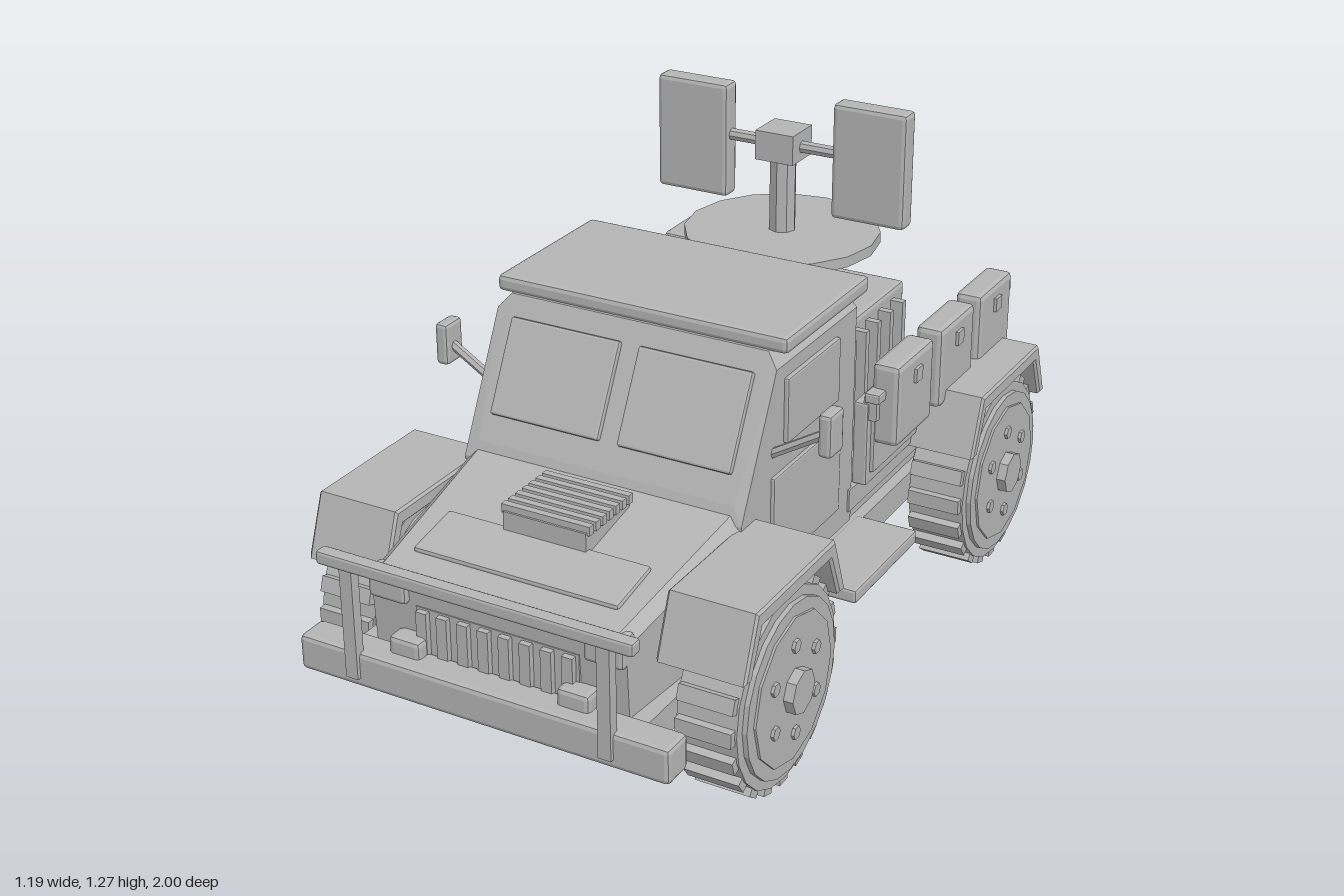
import * as THREE from 'three';
import { RoundedBoxGeometry } from 'three/addons/geometries/RoundedBoxGeometry.js';
import { ConvexGeometry } from 'three/addons/geometries/ConvexGeometry.js';

const grey = new THREE.MeshStandardMaterial({ color: 0xb4b4b4, flatShading: true });
grey.name = 'grey';

export function createModel() {
  const model = new THREE.Group();
  model.name = 'utilityTruck';

  const add = (name, geometry, parent = model) => {
    const mesh = new THREE.Mesh(geometry, grey);
    mesh.name = name;
    parent.add(mesh);
    return mesh;
  };
  // Box given by its limits, with optional bevel
  const box = (name, x0, x1, y0, y1, z0, z1, bevel = 0, parent = model) => {
    const s = [x1 - x0, y1 - y0, z1 - z0];
    const g = bevel ? new RoundedBoxGeometry(...s, 1, bevel) : new THREE.BoxGeometry(...s);
    const mesh = add(name, g, parent);
    mesh.position.set((x0 + x1) / 2, (y0 + y1) / 2, (z0 + z1) / 2);
    return mesh;
  };
  // The same box on both sides
  const pair = (name, x0, x1, ...rest) => {
    box(name + 'Left', x0, x1, ...rest);
    box(name + 'Right', -x1, -x0, ...rest);
  };
  // Convex solid from [half width, y, z] points mirrored in x
  const hull = (name, pts) => add(name, new ConvexGeometry(
    pts.flatMap(([x, y, z]) => [new THREE.Vector3(x, y, z), new THREE.Vector3(-x, y, z)])));
  // Rod between two points
  const rod = (name, a, b, r, sides = 8) => {
    const p = new THREE.Vector3(...a), q = new THREE.Vector3(...b);
    const mesh = add(name, new THREE.CylinderGeometry(r, r, p.distanceTo(q), sides));
    mesh.position.copy(p).add(q).multiplyScalar(0.5);
    mesh.quaternion.setFromUnitVectors(new THREE.Vector3(0, 1, 0), q.sub(p).normalize());
    return mesh;
  };

  // Chassis, bed floor and cab sill
  hull('chassis', [
    [0.35, 0.18, 0.9], [0.35, 0.18, -0.9], [0.38, 0.21, 0.9], [0.38, 0.21, -0.97],
    [0.38, 0.285, 0.9], [0.38, 0.285, -0.97],
  ]);
  box('subFloor', -0.35, 0.35, 0.28, 0.345, -0.94, 0.4);
  box('bedFloor', -0.38, 0.38, 0.34, 0.4, -1, -0.1);
  pair('bedCornerPost', 0.29, 0.37, 0.39, 0.445, -0.99, -0.965);

  // Cab and hood
  hull('cab', [
    [0.375, 0.31, -0.12], [0.375, 0.31, 0.45], [0.375, 0.56, 0.458], [0.345, 0.6, 0.442],
    [0.375, 0.885, 0.295], [0.345, 0.92, 0.278], [0.375, 0.885, -0.12], [0.345, 0.92, -0.12],
  ]);
  hull('hood', [
    [0.37, 0.285, 0.42], [0.375, 0.555, 0.42], [0.345, 0.585, 0.42],
    [0.335, 0.285, 0.89], [0.335, 0.465, 0.9], [0.31, 0.492, 0.885],
  ]);
  box('roof', -0.39, 0.39, 0.915, 0.957, -0.158, 0.273, 0.012);

  // Windscreen panes lie on the sloping front of the cab
  for (const s of [-1, 1]) {
    const pane = add('windscreenPane', new RoundedBoxGeometry(0.3, 0.238, 0.02, 1, 0.006));
    pane.position.set(s * 0.175, 0.768, 0.36);
    pane.rotation.x = -Math.atan(0.512);
  }
  pair('doorWindow', 0.37, 0.387, 0.685, 0.85, -0.015, 0.255, 0.005);
  pair('door', 0.37, 0.385, 0.38, 0.62, -0.035, 0.315, 0.005);
  pair('doorHandle', 0.375, 0.395, 0.626, 0.64, -0.015, 0.065);

  // Hood louvres and front panel
  const slope = 0.19;
  const panel = box('hoodPanel', -0.27, 0.27, 0.502, 0.53, 0.675, 0.825, 0.008);
  panel.rotation.x = Math.atan(slope);
  box('louvreBase', -0.11, 0.11, 0.53, 0.587, 0.505, 0.695);
  for (let i = 0; i < 7; i++) {
    const z = 0.51 + i * 0.0285;
    box('louvreSlat', -0.117, 0.117, 0.58, 0.603, z - 0.009, z + 0.009);
  }

  // Radiator grille, headlights and tow shackles
  box('grilleFrame', -0.215, 0.215, 0.295, 0.415, 0.87, 0.9);
  for (let i = 0; i < 8; i++) {
    const x = -0.1925 + i * 0.055;
    box('grilleSlat', x - 0.014, x + 0.014, 0.3, 0.41, 0.89, 0.915);
  }
  pair('headlight', 0.233, 0.335, 0.415, 0.49, 0.86, 0.915, 0.01);
  pair('towShackle', 0.18, 0.265, 0.29, 0.347, 0.89, 0.945, 0.012);

  // Bumper and brush bar
  box('frontBumper', -0.487, 0.487, 0.215, 0.305, 0.9, 0.985, 0.012);
  pair('brushBarPost', 0.317, 0.35, 0.24, 0.535, 0.968, 0.995);
  box('brushBarTop', -0.41, 0.41, 0.518, 0.552, 0.965, 1, 0.007);

  // Mirrors
  for (const s of [-1, 1]) {
    rod('mirrorArm', [s * 0.37, 0.68, 0.305], [s * 0.51, 0.765, 0.305], 0.012, 6);
  }
  pair('mirror', 0.5, 0.535, 0.715, 0.823, 0.268, 0.337, 0.01);

  // Side steps
  pair('sideStep', 0.36, 0.527, 0.25, 0.287, -0.19, 0.16, 0.008);

  // Fenders: angular arches extruded across the wheels
  const fender = (zc) => {
    const pts = [[-0.24, 0.4], [-0.185, 0.548], [0.185, 0.548], [0.24, 0.4],
      [0.212, 0.4], [0.165, 0.512], [-0.165, 0.512], [-0.212, 0.4]];
    const shape = new THREE.Shape(pts.map(([z, y]) => new THREE.Vector2(z, y)));
    const g = new THREE.ExtrudeGeometry(shape, {
      depth: 0.21, bevelThickness: 0.006, bevelSize: 0.006, bevelOffset: -0.004, bevelSegments: 1,
    });
    g.translate(0, 0, -0.105);
    for (const s of [-1, 1]) {
      const mesh = add('fender', g);
      mesh.rotation.y = s * Math.PI / 2;
      mesh.position.set(s * 0.468, 0, zc);
    }
  };
  fender(0.575);
  fender(-0.645);

  // Wheels, built with the outer face towards +x
  const wheel = (zc, side) => {
    const group = new THREE.Group();
    group.name = 'wheel';
    const disc = (name, r, x0, x1, sides, y = 0, z = 0) => {
      const g = new THREE.CylinderGeometry(r, r, x1 - x0, sides);
      g.rotateZ(-Math.PI / 2);
      add(name, g, group).position.set((x0 + x1) / 2, y, z);
    };
    disc('tyre', 0.24, -0.07, 0.08, 20);
    disc('tyreSidewall', 0.215, -0.08, 0.092, 20);
    disc('rim', 0.185, 0, 0.098, 12);
    disc('hub', 0.055, 0, 0.122, 8);
    for (let i = 0; i < 6; i++) {
      const a = i * Math.PI / 3 + 0.5;
      disc('wheelBolt', 0.017, 0.08, 0.106, 6, Math.sin(a) * 0.115, Math.cos(a) * 0.115);
    }
    for (let i = 0; i < 20; i++) {
      const a = i * Math.PI / 10;
      const lug = box('treadLug', -0.065, 0.075, -0.018, 0.018, -0.019, 0.019, 0, group);
      lug.position.set(0.005, Math.cos(a) * 0.239, Math.sin(a) * 0.239);
      lug.rotation.x = a;
    }
    group.position.set(side * 0.475, 0.257, zc);
    if (side < 0) group.rotation.y = Math.PI;
    model.add(group);
  };
  for (const s of [-1, 1]) for (const z of [0.57, -0.65]) wheel(z, s);
  for (const z of [0.57, -0.65]) rod('axle', [-0.42, 0.257, z], [0.42, 0.257, z], 0.04);

  // Bed walls, rails and hanging storage packs
  pair('bedWall', 0.365, 0.405, 0.4, 0.625, -0.945, -0.14, 0.006);
  pair('wallPanel', 0.4, 0.415, 0.43, 0.6, -0.92, -0.16, 0.005);
  pair('bedRail', 0.4, 0.44, 0.635, 0.662, -0.962, -0.125, 0.005);
  for (const z of [-0.16, -0.395, -0.645, -0.93]) pair('railPost', 0.39, 0.425, 0.58, 0.64, z - 0.015, z + 0.015);
  for (const z of [-0.268, -0.523, -0.771]) {
    pair('storagePack', 0.4, 0.475, 0.51, 0.728, z - 0.105, z + 0.105, 0.015);
    pair('packLatch', 0.47, 0.483, 0.655, 0.692, z - 0.018, z + 0.018);
  }

  // Cargo crate with side ribs
  box('cargoCrate', -0.25, 0.25, 0.4, 0.727, -0.68, -0.245, 0.012);
  for (const z of [-0.605, -0.53, -0.455, -0.385, -0.31]) pair('crateRib', 0.245, 0.285, 0.41, 0.7, z - 0.01, z + 0.01);

  // Mast with round platform and twin panels
  const zm = -0.457;
  const platform = add('mastPlatform', new THREE.CylinderGeometry(0.253, 0.253, 0.028, 16));
  platform.position.set(0, 0.887, zm);
  rod('mast', [0, 0.72, zm], [0, 1.11, zm], 0.035);
  box('mastHead', -0.053, 0.053, 1.095, 1.172, zm - 0.053, zm + 0.053);
  rod('crossbar', [-0.17, 1.13, zm], [0.17, 1.13, zm], 0.016);
  pair('mastPanel', 0.148, 0.35, 0.965, 1.267, zm - 0.029, zm + 0.029, 0.012);

  return model;
}
